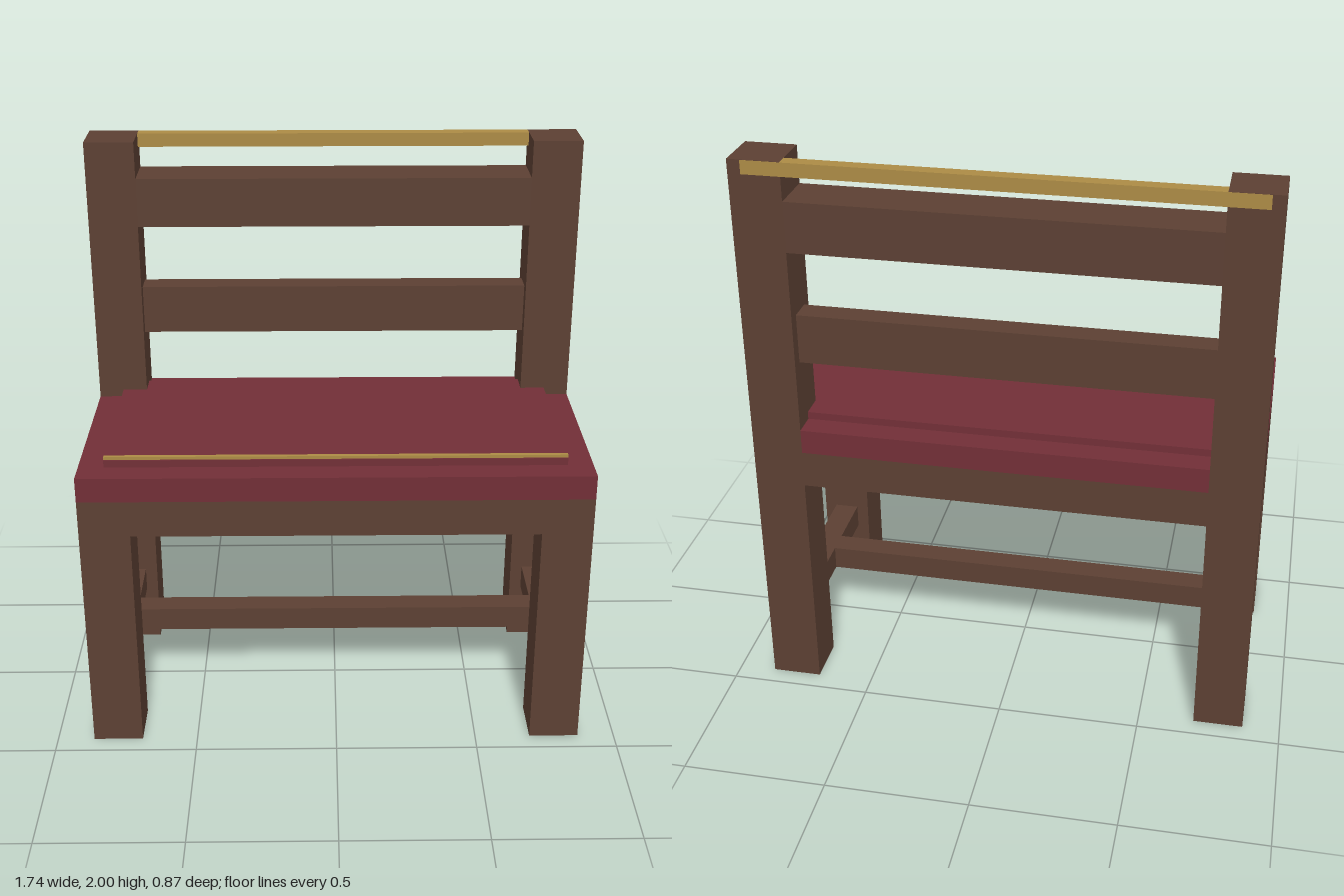
import * as THREE from 'three';

const U = 2 / 23; // one module: legs are 2 x 2, the bench 20 x 10 x 23
const wood = new THREE.MeshStandardMaterial({ color: 0x5c4033 });
const fabric = new THREE.MeshStandardMaterial({ color: 0x722f37 });
const brass = new THREE.MeshStandardMaterial({ color: 0xac8b45 });

export function createModel() {
  const model = new THREE.Group();
  model.name = 'bench';

  const add = (name, geometry, material) => {
    const mesh = new THREE.Mesh(geometry, material);
    mesh.name = name;
    model.add(mesh);
    return mesh;
  };

  // Box given by its extents in modules
  const box = (name, material, [x0, x1], [y0, y1], [z0, z1]) => {
    const g = new THREE.BoxGeometry((x1 - x0) * U, (y1 - y0) * U, (z1 - z0) * U);
    g.translate((x0 + x1) / 2 * U, (y0 + y1) / 2 * U, (z0 + z1) / 2 * U);
    return add(name, g, material);
  };

  // Full-size slab notched around the two back posts
  const notchedSlab = (name, material, y0, y1) => {
    const plan = [[-10, -5], [10, -5], [10, 3], [8, 3], [8, 5], [-8, 5], [-8, 3], [-10, 3]];
    const shape = new THREE.Shape(plan.map(([x, y]) => new THREE.Vector2(x * U, y * U)));
    const g = new THREE.ExtrudeGeometry(shape, { depth: (y1 - y0) * U, bevelEnabled: false });
    g.rotateX(-Math.PI / 2);
    g.translate(0, y0 * U, 0);
    return add(name, g, material);
  };

  // Legs, brass glides and side stretchers
  for (const [side, s] of [['left', 1], ['right', -1]]) {
    const span = (a, b) => (s > 0 ? [a, b] : [-b, -a]);
    box(side + 'FrontLeg', wood, span(8, 10), [0.02, 9.5], [3, 5]);
    box(side + 'BackPost', wood, span(8, 10), [0.02, 23], [-5, -3]);
    box(side + 'Stretcher', wood, span(8.5, 9.5), [2.5, 3.5], [-3, 3]);
    for (const z of [4, -4]) {
      const glide = add(side + (z > 0 ? 'Front' : 'Back') + 'Glide',
        new THREE.CylinderGeometry(0.5 * U, 0.5 * U, 0.1 * U, 12), brass);
      glide.position.set(s * 9 * U, 0.05 * U, z * U);
    }
  }
  box('centreStretcher', wood, [-8.5, 8.5], [2.5, 3.5], [-0.5, 0.5]);

  // Seat frame, padded seat, raised cushion and its front piping
  notchedSlab('seatFrame', wood, 9.5, 11);
  notchedSlab('seatPad', fabric, 11, 12);
  box('cushion', fabric, [-9, 9], [12, 12.3], [-4, 4]);
  box('cushionPiping', brass, [-9, 9], [12.3, 12.42], [3.78, 3.95]);

  // Backrest: thin middle slat, full-depth upper rail, brass top bar
  box('middleSlat', wood, [-8, 8], [14.75, 16.75], [-4.5, -3.5]);
  box('upperRail', wood, [-8, 8], [19.5, 21.5], [-5, -3]);
  box('topBar', brass, [-9.5, 9.5], [22.45, 22.99], [-5.01, -4.48]);

  return model;
}
